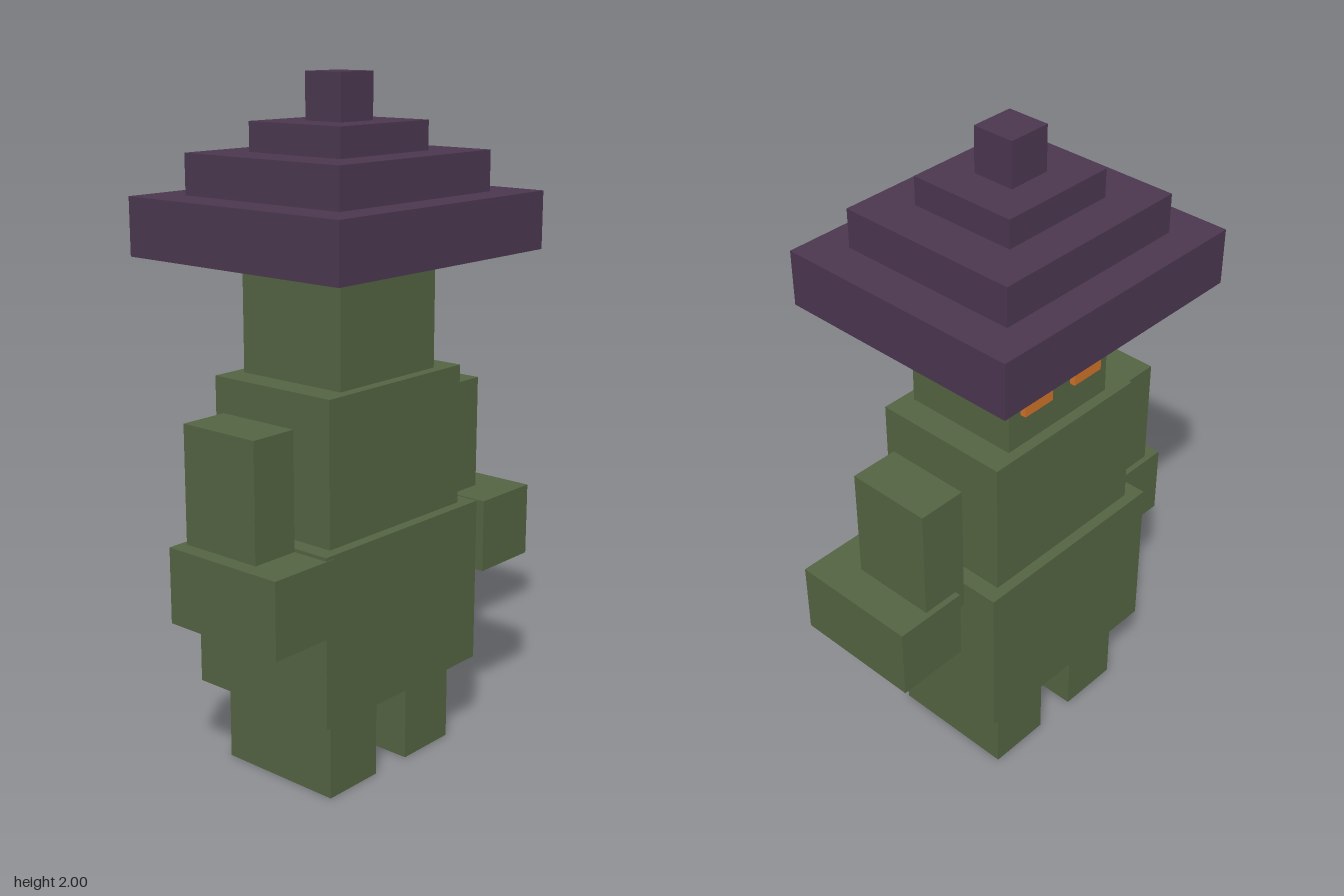
import * as THREE from 'three';

const material = (name, color) => {
  const m = new THREE.MeshStandardMaterial({ color });
  m.name = name;
  return m;
};

export function createModel() {
  const model = new THREE.Group();
  model.name = 'hattedFigure';
  const green = material('mossGreen', 0x546442);
  const purple = material('hatPurple', 0x4b3750);
  const orange = material('eyeOrange', 0xd0722a);

  // Box given by its lower and upper limits on each axis
  const box = (name, mat, [x0, x1], [y0, y1], [z0, z1], parent = model) => {
    const mesh = new THREE.Mesh(new THREE.BoxGeometry(x1 - x0, y1 - y0, z1 - z0), mat);
    mesh.position.set((x0 + x1) / 2, (y0 + y1) / 2, (z0 + z1) / 2);
    mesh.name = name;
    parent.add(mesh);
  };
  // The body's middle line sits slightly to the right of the origin
  const mid = -0.031;
  const centred = (name, mat, halfX, y, halfZ, parent) =>
    box(name, mat, [mid - halfX, mid + halfX], y, [-halfZ, halfZ], parent);

  // Body
  centred('hips', green, 0.333, [0.253, 0.752], 0.248);
  centred('chest', green, 0.282, [0.752, 1.17], 0.215);
  centred('head', green, 0.201, [1.17, 1.505], 0.182);

  // Stepped hat
  const hat = new THREE.Group();
  hat.name = 'hat';
  model.add(hat);
  centred('hatBrim', purple, 0.432, [1.505, 1.67], 0.382, hat);
  centred('hatLowerStep', purple, 0.316, [1.67, 1.785], 0.281, hat);
  centred('hatUpperStep', purple, 0.183, [1.785, 1.868], 0.166, hat);
  centred('hatTip', purple, 0.066, [1.868, 2], 0.065, hat);

  // Mirrored limbs and eyes; the face looks towards -z
  for (const [side, s] of [['left', 1], ['right', -1]]) {
    const span = (a, b, c = mid) => (s > 0 ? [c + a, c + b] : [c - b, c - a]);
    box(side + 'Leg', green, span(0.067, 0.265), [0, 0.253], [-0.2, 0.2]);
    box(side + 'UpperArm', green, span(0.333, 0.483), [0.67, 1.085], [-0.132, 0.132]);
    box(side + 'Forearm', green, span(0.336, 0.562, 0), [0.52, 0.742], [-0.15, 0.25]);
    box(side + 'Eye', orange, span(0.045, 0.155), [1.273, 1.378], [-0.2, -0.182]);
  }
  return model;
}
